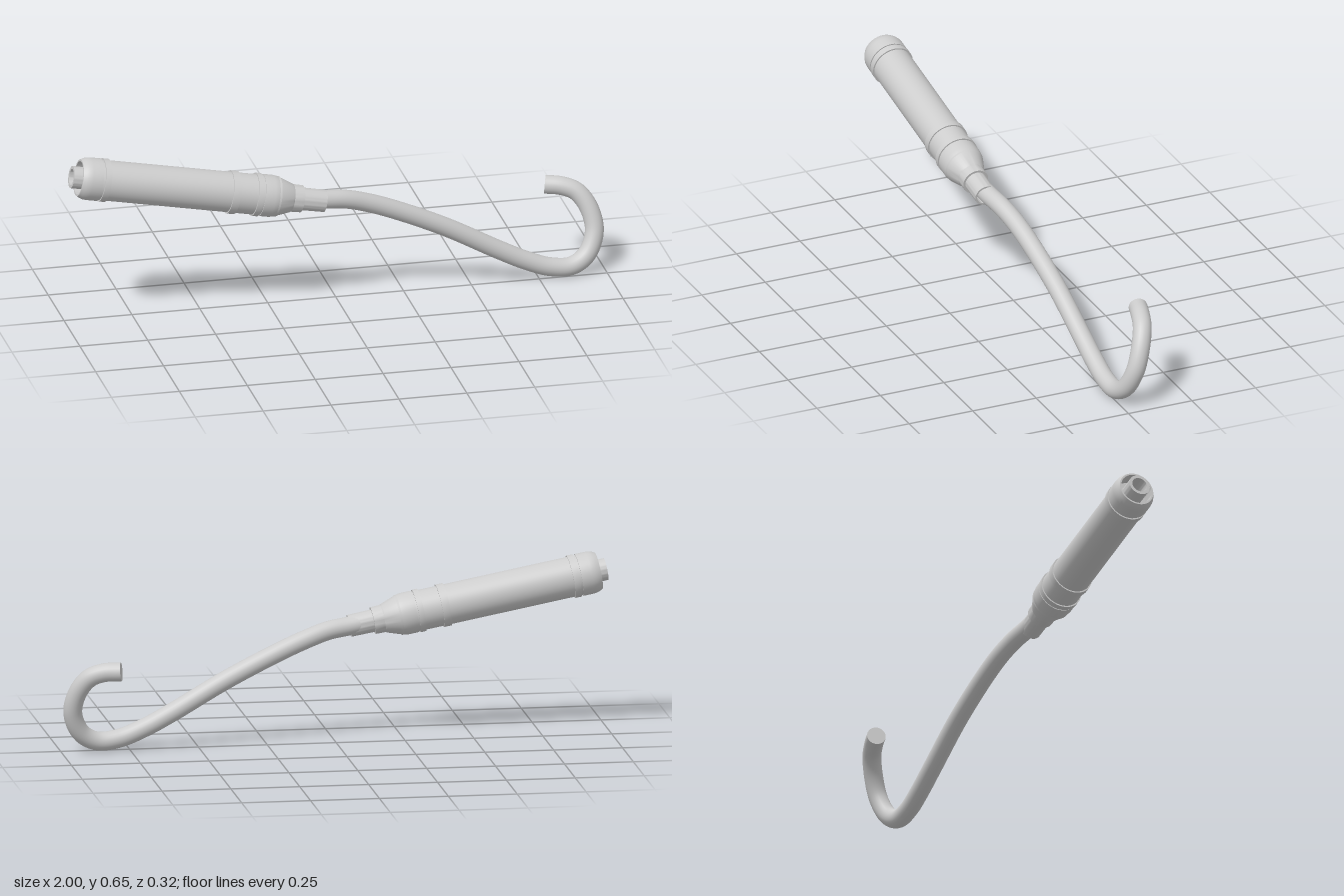
import * as THREE from 'three';
import { toCreasedNormals } from 'three/addons/utils/BufferGeometryUtils.js';

export function createModel() {
  const model = new THREE.Group();
  model.name = 'plugWithCable';
  const grey = new THREE.MeshStandardMaterial({ color: 0xcccccc });
  grey.name = 'light grey';

  // Plug axis: local y runs from the open tip towards the cable
  const plug = new THREE.Group();
  plug.name = 'plug';
  plug.position.set(-0.992, 0.588, 0.082);
  plug.rotation.z = -Math.PI / 2 - 0.189;
  model.add(plug);

  // Turned part from [radius, distance along the axis] pairs
  const turned = (name, profile) => {
    const points = profile.map(([r, s]) => new THREE.Vector2(r, s));
    const geometry = toCreasedNormals(new THREE.LatheGeometry(points, 40), 0.45);
    const mesh = new THREE.Mesh(geometry, grey);
    mesh.name = name;
    plug.add(mesh);
  };

  // Hollow contact inside the recessed end cap
  turned('endCapAndContact', [
    [0, 0.08], [0.029, 0.08], [0.029, 0], [0.04, 0], [0.04, 0.08], [0.06, 0.08],
    [0.06, 0.027], [0.066, 0.027], [0.072, 0.038], [0.076, 0.05], [0.077, 0.062],
    [0.077, 0.1], [0.073, 0.1],
  ]);
  turned('barrel', [[0.073, 0.098], [0.073, 0.77]]);
  const rings = [['capRing', 0.108, 0.13], ['rearRing', 0.588, 0.615], ['frontRing', 0.682, 0.702]];
  for (const [name, start, end] of rings) {
    turned(name, [[0.07, start], [0.078, start], [0.078, end], [0.07, end]]);
  }

  // Tapering nose and the strain relief collar
  turned('nose', [
    [0.07, 0.708], [0.076, 0.708], [0.076, 0.745], [0.074, 0.76], [0.053, 0.82],
    [0.05, 0.825], [0.049, 0.862], [0.036, 0.862],
  ]);
  turned('collar', [[0.041, 0.855], [0.04, 0.949], [0.033, 0.949], [0.033, 0.86], [0, 0.86]]);

  // Cable with a hooked end
  const path = new THREE.CatmullRomCurve3([
    [-0.15, 0.427, 0.082], [-0.06, 0.412, 0.071], [0.02, 0.4, 0.058], [0.1, 0.375, 0.043],
    [0.2, 0.335, 0.03], [0.4, 0.24, 0.012], [0.6, 0.128, 0.001], [0.7, 0.077, -0.002],
    [0.79, 0.043, -0.004], [0.87, 0.037, -0.009], [0.93, 0.072, -0.022],
    [0.963, 0.15, -0.045], [0.949, 0.23, -0.071], [0.91, 0.286, -0.095],
    [0.86, 0.307, -0.111], [0.8, 0.312, -0.128],
  ].map((p) => new THREE.Vector3(...p)));
  const cableRadius = 0.034;
  const cable = new THREE.Mesh(new THREE.TubeGeometry(path, 140, cableRadius, 24), grey);
  cable.name = 'cable';
  model.add(cable);

  // Flat disc closing the free end
  const cableEnd = new THREE.Mesh(new THREE.CircleGeometry(cableRadius, 24), grey);
  cableEnd.name = 'cableEnd';
  cableEnd.position.copy(path.getPointAt(1));
  cableEnd.quaternion.setFromUnitVectors(new THREE.Vector3(0, 0, 1), path.getTangentAt(1));
  model.add(cableEnd);

  return model;
}
